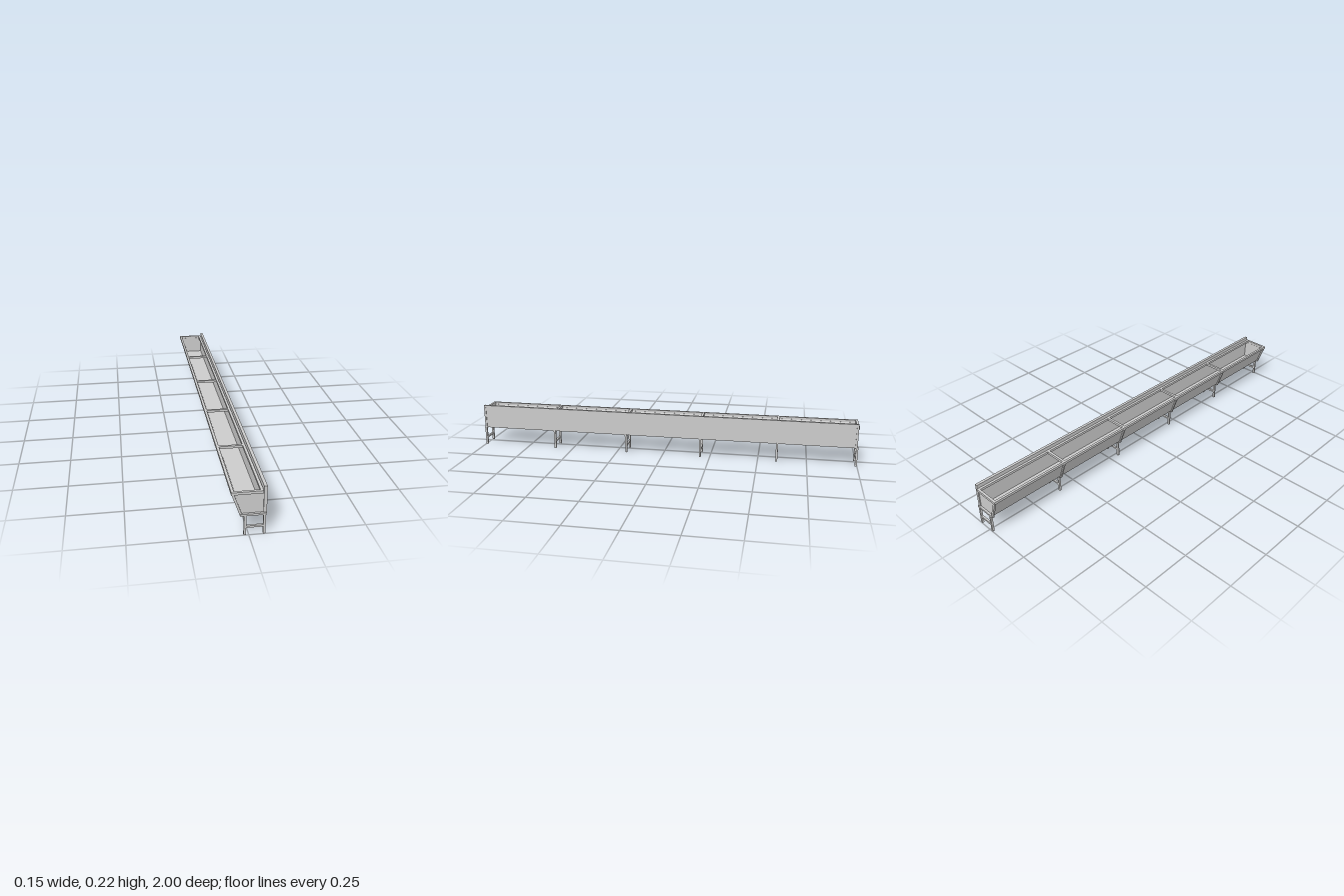
import * as THREE from 'three';

const material = new THREE.MeshStandardMaterial({ color: 0xcccccc, flatShading: true });

// Box given by its limits on each axis
function bar(parent, name, [x0, x1], [y0, y1], [z0, z1]) {
  const mesh = new THREE.Mesh(new THREE.BoxGeometry(x1 - x0, y1 - y0, z1 - z0), material);
  mesh.position.set((x0 + x1) / 2, (y0 + y1) / 2, (z0 + z1) / 2);
  mesh.name = name;
  parent.add(mesh);
}

// Cross-section in x and y, extruded along z
function prism(parent, name, points, [z0, z1]) {
  const shape = new THREE.Shape(points.map(([x, y]) => new THREE.Vector2(x, y)));
  const geometry = new THREE.ExtrudeGeometry(shape, { depth: z1 - z0, bevelEnabled: false });
  const mesh = new THREE.Mesh(geometry, material);
  mesh.position.z = z0;
  mesh.name = name;
  parent.add(mesh);
}

// Leg frame with a cross brace, a slanted rib and a top tie bar
function createFrame(z) {
  const frame = new THREE.Group();
  frame.name = 'supportFrame';
  const depth = [-0.005, 0.005];
  bar(frame, 'outerLeg', [-0.021, -0.011], [0, 0.092], depth);
  bar(frame, 'wallLeg', [0.06, 0.07], [0, 0.092], depth);
  bar(frame, 'legBrace', [-0.011, 0.06], [0.034, 0.043], depth);
  prism(frame, 'floorBeam', [[-0.037, 0.091], [0.074, 0.091], [0.074, 0.1], [-0.04, 0.1]], [-0.006, 0.006]);
  prism(frame, 'slantedRib', [[-0.04, 0.1], [-0.029, 0.1], [-0.062, 0.193], [-0.073, 0.193]], depth);
  bar(frame, 'tieBar', [-0.063, 0.047], [0.193, 0.205], [-0.006, 0.006]);
  frame.position.z = z;
  return frame;
}

export function createModel() {
  const group = new THREE.Group();
  group.name = 'trough';

  // Six evenly spaced frames
  const end = 0.994;
  for (let i = 0; i < 6; i++) group.add(createFrame(-end + (2 * end * i) / 5));

  // Sheet lining: floor, sloped side and closed ends
  const length = [-0.99, 0.99];
  bar(group, 'floor', [-0.032, 0.07], [0.097, 0.101], length);
  prism(group, 'slopedPanel', [[-0.033, 0.098], [-0.029, 0.098], [-0.062, 0.193], [-0.066, 0.193]], length);
  for (const z of [-0.99, 0.987]) {
    prism(group, 'endPanel', [[-0.031, 0.1], [0.062, 0.1], [0.062, 0.193], [-0.064, 0.193]], [z, z + 0.003]);
  }

  // Rim rails on top
  bar(group, 'outerRim', [-0.075, -0.063], [0.193, 0.205], [-1, 1]);
  bar(group, 'wallRim', [0.046, 0.058], [0.193, 0.205], [-1, 1]);

  // Tall wall with a top rail and end posts
  bar(group, 'wallPanel', [0.06, 0.071], [0.1, 0.212], length);
  bar(group, 'wallTopRail', [0.06, 0.074], [0.211, 0.222], [-0.995, 0.995]);
  for (const z of [-0.995, 0.985]) bar(group, 'wallPost', [0.06, 0.074], [0.1, 0.211], [z, z + 0.01]);

  return group;
}
